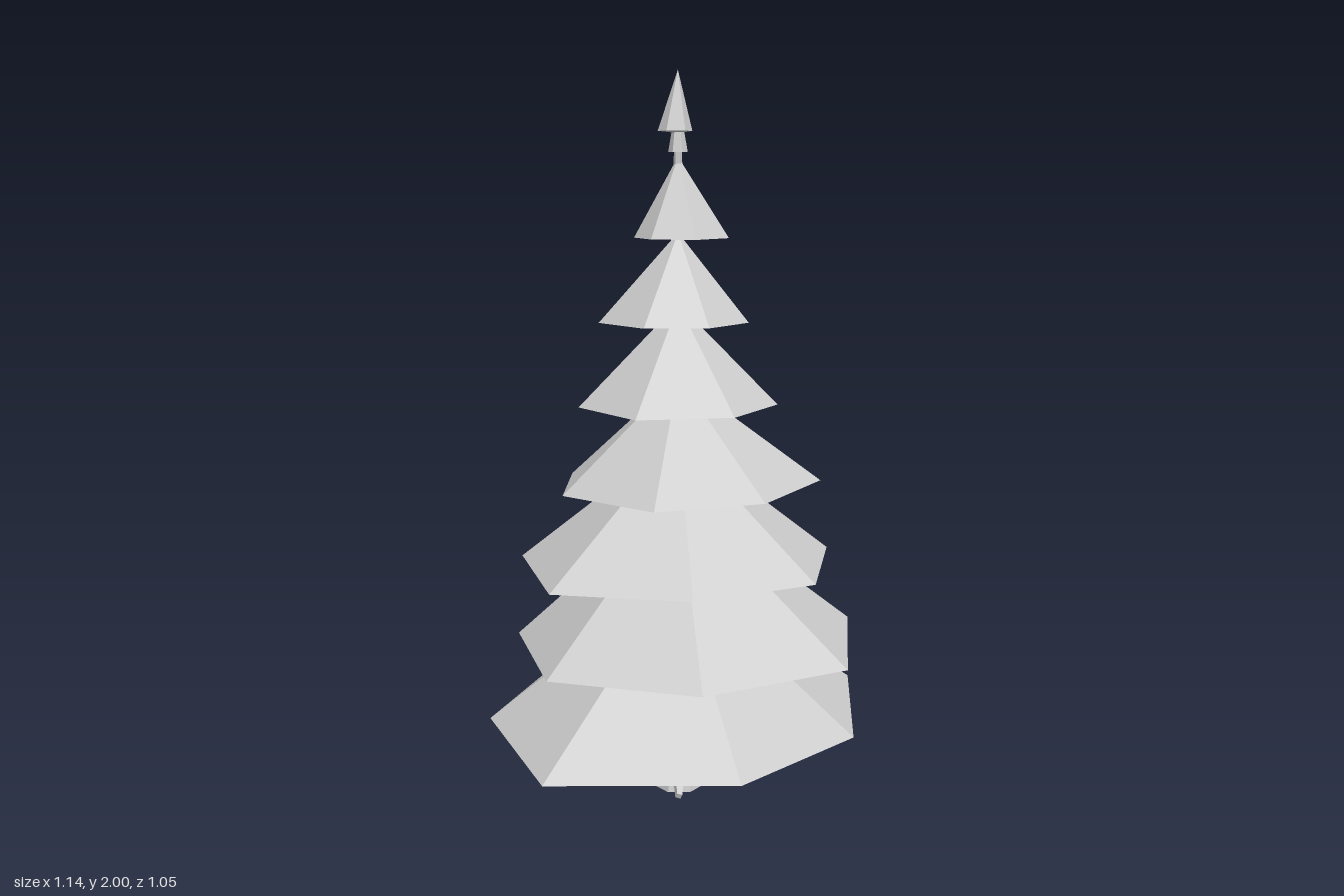
import * as THREE from 'three';

const needleGrey = new THREE.MeshStandardMaterial({ color: 0xcccccc, flatShading: true });
needleGrey.name = 'lightGrey';

const AXIS = { x: -0.036, z: 0.008 };

// Irregular pyramid: outline of [x, z] corners, clockwise from above, with a closed underside
function pyramid(name, baseY, apexY, outline) {
  const pos = [];
  const { x, z } = AXIS;
  outline.forEach(([ax, az], i) => {
    const [bx, bz] = outline[(i + 1) % outline.length];
    pos.push(x, apexY, z, bx, baseY, bz, ax, baseY, az);
    pos.push(x, baseY - 0.006, z, ax, baseY, az, bx, baseY, bz);
  });
  const geo = new THREE.BufferGeometry();
  geo.setAttribute('position', new THREE.Float32BufferAttribute(pos, 3));
  geo.computeVertexNormals();
  const mesh = new THREE.Mesh(geo, needleGrey);
  mesh.name = name;
  return mesh;
}

// Tapered cylinder on the tree axis
function post(name, y0, y1, r0, r1, sides, turn = 0) {
  const geo = new THREE.CylinderGeometry(r1, r0, y1 - y0, sides);
  geo.rotateY(turn);
  const mesh = new THREE.Mesh(geo, needleGrey);
  mesh.position.set(AXIS.x, (y0 + y1) / 2, AXIS.z);
  mesh.name = name;
  return mesh;
}

// Branch tiers: base height, apex height, outline
const tiers = [
  [0.212, 0.63, [[-0.195, -0.53], [0.29, -0.463], [0.566, -0.03], [0.307, 0.39], [-0.122, 0.524], [-0.57, 0.292], [-0.527, -0.204]]],
  [0.437, 0.86, [[0.496, 0.067], [0.24, 0.454], [-0.195, 0.452], [-0.502, 0.164], [-0.42, -0.244], [-0.09, -0.435], [0.292, -0.332]]],
  [0.662, 1.02, [[-0.076, -0.453], [0.304, -0.314], [0.414, 0.073], [0.18, 0.383], [-0.18, 0.371], [-0.48, 0.14], [-0.402, -0.25]]],
  [0.887, 1.185, [[0.036, -0.38], [0.31, -0.186], [0.33, 0.164], [0.05, 0.338], [-0.25, 0.289], [-0.384, 0.01], [-0.247, -0.244]]],
  [1.112, 1.385, [[0.064, -0.24], [0.259, -0.082], [0.19, 0.16], [-0.015, 0.287], [-0.26, 0.204], [-0.31, -0.046], [-0.164, -0.23]]],
  [1.336, 1.575, [[0.06, -0.19], [0.167, -0.036], [0.116, 0.128], [-0.04, 0.195], [-0.195, 0.122], [-0.244, -0.055], [-0.113, -0.174]]],
  [1.562, 1.775, [[-0.082, -0.134], [0.033, -0.113], [0.097, 0.027], [0.067, 0.104], [-0.052, 0.14], [-0.146, 0.067], [-0.146, -0.036]]],
];

export function createModel() {
  const tree = new THREE.Group();
  tree.name = 'firTree';

  tiers.forEach(([y0, y1, outline], i) => tree.add(pyramid(`branchTier${i + 1}`, y0, y1, outline)));

  // Pointed top with its thin stem and collar
  tree.add(pyramid('treeTip', 1.842, 2.0, [[-0.04, -0.043], [0.003, -0.018], [0.001, 0.02], [-0.034, 0.047], [-0.08, 0.027], [-0.086, -0.012]]));
  tree.add(post('topStem', 1.72, 1.86, 0.012, 0.01, 6));
  tree.add(post('topCollar', 1.787, 1.845, 0.026, 0.016, 6));

  // Trunk with a flared foot
  tree.add(post('trunk', 0.11, 0.24, 0.05, 0.047, 7));
  tree.add(post('trunkFoot', 0.005, 0.11, 0.073, 0.05, 7));

  // Five roots, each a tapered spike sloping down to the ground
  const roots = new THREE.Group();
  roots.name = 'roots';
  for (let i = 0; i < 5; i++) {
    const a = Math.PI / 4 + (i * Math.PI * 2) / 5;
    const at = (r, y) => new THREE.Vector3(AXIS.x + r * Math.cos(a), y, AXIS.z + r * Math.sin(a));
    const start = at(0.03, 0.06);
    const end = at(0.132, 0.018);
    const dir = end.clone().sub(start);
    const root = new THREE.Mesh(new THREE.CylinderGeometry(0.011, 0.022, dir.length(), 4), needleGrey);
    root.position.copy(start).add(end).multiplyScalar(0.5);
    root.quaternion.setFromUnitVectors(new THREE.Vector3(0, 1, 0), dir.normalize());
    root.name = `root${i + 1}`;
    roots.add(root);
  }
  tree.add(roots);

  // Stand the trunk foot on the ground
  tree.getObjectByName('trunkFoot').position.y -= 0.005;
  return tree;
}
